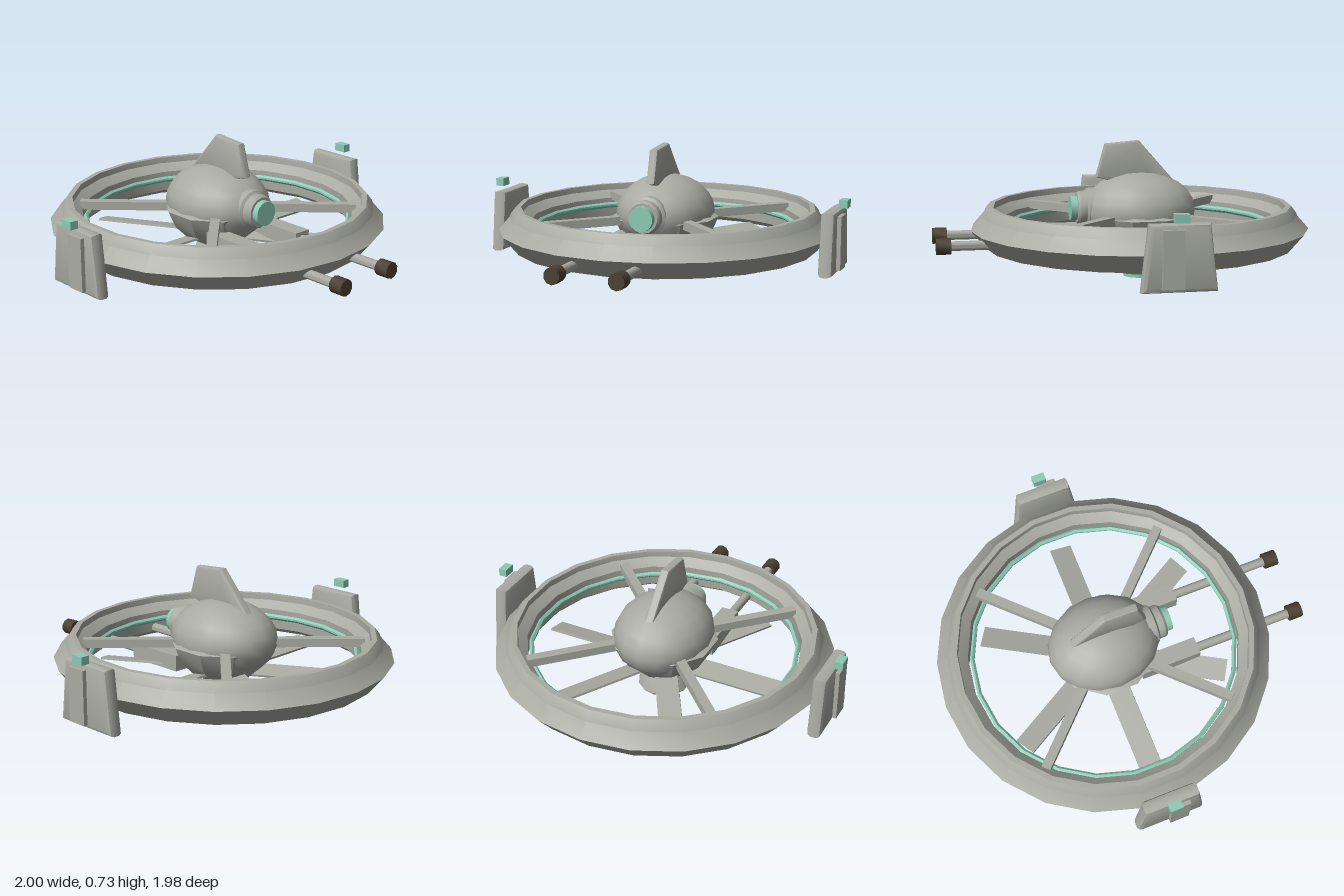
import * as THREE from 'three';
import { toCreasedNormals } from 'three/addons/utils/BufferGeometryUtils.js';

const material = (name, color) => {
  const m = new THREE.MeshStandardMaterial({ color });
  m.name = name;
  return m;
};

export function createModel() {
  const hull = material('hullGrey', 0xa9aba3);
  const glow = material('mintGlow', 0x8ccbb5);
  const dark = material('darkBrown', 0x4a4031);

  const model = new THREE.Group();
  model.name = 'rotorDrone';
  // All craft parts sit around the ring axis
  const craft = new THREE.Group();
  craft.name = 'craft';
  craft.position.z = -0.095;
  model.add(craft);

  const add = (name, geo, mat, x = 0, y = 0, z = 0, parent = craft) => {
    const mesh = new THREE.Mesh(geo, mat);
    mesh.name = name;
    mesh.position.set(x, y, z);
    parent.add(mesh);
    return mesh;
  };
  const lathe = (points, sides, crease = 0.45) =>
    toCreasedNormals(new THREE.LatheGeometry(points.map(p => new THREE.Vector2(...p)), sides), crease);
  // Bevelled plate drawn in (z, y), with its thickness along x
  const plate = (points, thickness, bevel) => {
    const geo = new THREE.ExtrudeGeometry(new THREE.Shape(points.map(p => new THREE.Vector2(...p))), {
      depth: thickness - 2 * bevel, bevelThickness: bevel, bevelSize: bevel,
      bevelOffset: -bevel, bevelSegments: 2,
    });
    geo.translate(0, 0, bevel - thickness / 2);
    geo.rotateY(-Math.PI / 2);
    return toCreasedNormals(geo, 0.6);
  };

  // Outer duct ring with a raised lip on top
  add('ductRing', lathe([
    [0.728, 0.2], [0.76, 0.175], [0.815, 0.172], [0.895, 0.267], [0.835, 0.335], [0.83, 0.35],
    [0.803, 0.385], [0.775, 0.385], [0.773, 0.352], [0.725, 0.312], [0.728, 0.2],
  ], 22), hull);
  add('glowRing', lathe([
    [0.693, 0.27], [0.705, 0.258], [0.717, 0.27], [0.717, 0.28], [0.705, 0.29], [0.693, 0.28], [0.693, 0.27],
  ], 22), glow);

  // Central body and faceted belly
  const body = new THREE.SphereGeometry(1, 16, 12);
  body.scale(0.258, 0.2, 0.303);
  add('body', body, hull, 0, 0.357, 0);
  add('belly', lathe([
    [0, 0.13], [0.11, 0.135], [0.175, 0.17], [0.245, 0.24], [0.285, 0.33], [0.25, 0.345], [0, 0.345],
  ], 10), hull);

  // Lower thruster
  add('thruster', lathe([
    [0, 0.027], [0.13, 0.027], [0.14, 0.04], [0.112, 0.125], [0.1, 0.14], [0, 0.14],
  ], 14, 0.5), hull);
  add('thrusterGlow', toCreasedNormals(new THREE.CylinderGeometry(0.085, 0.085, 0.03, 14), 0.6), glow, 0, 0.015, 0);

  // Front eye
  const collar = lathe([
    [0, 0.22], [0.105, 0.22], [0.105, 0.28], [0.09, 0.29], [0.09, 0.325], [0.08, 0.338], [0, 0.338],
  ], 14, 0.5);
  collar.rotateX(Math.PI / 2);
  add('eyeCollar', collar, hull, 0, 0.373, 0);
  const lens = new THREE.CylinderGeometry(0.066, 0.066, 0.06, 14);
  lens.rotateX(Math.PI / 2);
  add('eyeLens', toCreasedNormals(lens, 0.6), glow, 0, 0.373, 0.342);

  // Top fin
  add('topFin', plate([[0.235, 0.535], [0.185, 0.71], [0.005, 0.725], [-0.18, 0.515], [-0.05, 0.5], [0.1, 0.5]], 0.05, 0.015), hull);

  // Pitched rotor blades
  const rotor = new THREE.Group();
  rotor.name = 'rotor';
  rotor.position.y = 0.186;
  craft.add(rotor);
  for (let i = 0; i < 6; i++) {
    const arm = new THREE.Group();
    arm.name = 'bladeArm';
    arm.rotation.y = i * Math.PI / 3;
    rotor.add(arm);
    add('blade', new THREE.BoxGeometry(0.62, 0.012, 0.12), hull, 0.357, 0, 0, arm).rotation.x = 0.22;
  }

  // Diagonal struts from body to ring
  for (let i = 0; i < 4; i++) {
    const arm = new THREE.Group();
    arm.name = 'strutArm';
    arm.rotation.y = Math.PI / 4 + i * Math.PI / 2;
    craft.add(arm);
    add('strut', new THREE.BoxGeometry(0.56, 0.045, 0.05), hull, 0.46, 0.325, 0, arm);
  }

  const rod = (radius, length, sides) => {
    const geo = new THREE.CylinderGeometry(radius, radius, length, sides);
    geo.rotateX(Math.PI / 2);
    return toCreasedNormals(geo, 0.8);
  };
  for (const side of [-1, 1]) {
    // Forward barrels
    const x = side * 0.165;
    add('barrelHousing', new THREE.BoxGeometry(0.095, 0.085, 0.33), hull, x, 0.22, 0.31);
    add('barrel', rod(0.025, 0.56, 10), hull, x, 0.22, 0.735);
    add('muzzle', rod(0.043, 0.075, 10), dark, x, 0.22, 1.0475);

    // Side pods with a raised strip and a floating beacon
    add('sidePod', plate([[-0.182, 0.103], [0.188, 0.103], [0.15, 0.428], [-0.145, 0.428]], 0.075, 0.022),
      hull, side * 0.923, 0, 0);
    add('podStrip', new THREE.BoxGeometry(0.05, 0.28, 0.105), hull, side * 0.957, 0.264, 0.04);
    add('beacon', new THREE.BoxGeometry(0.045, 0.042, 0.07), glow, side * 0.9775, 0.46, 0.005);
  }
  return model;
}
